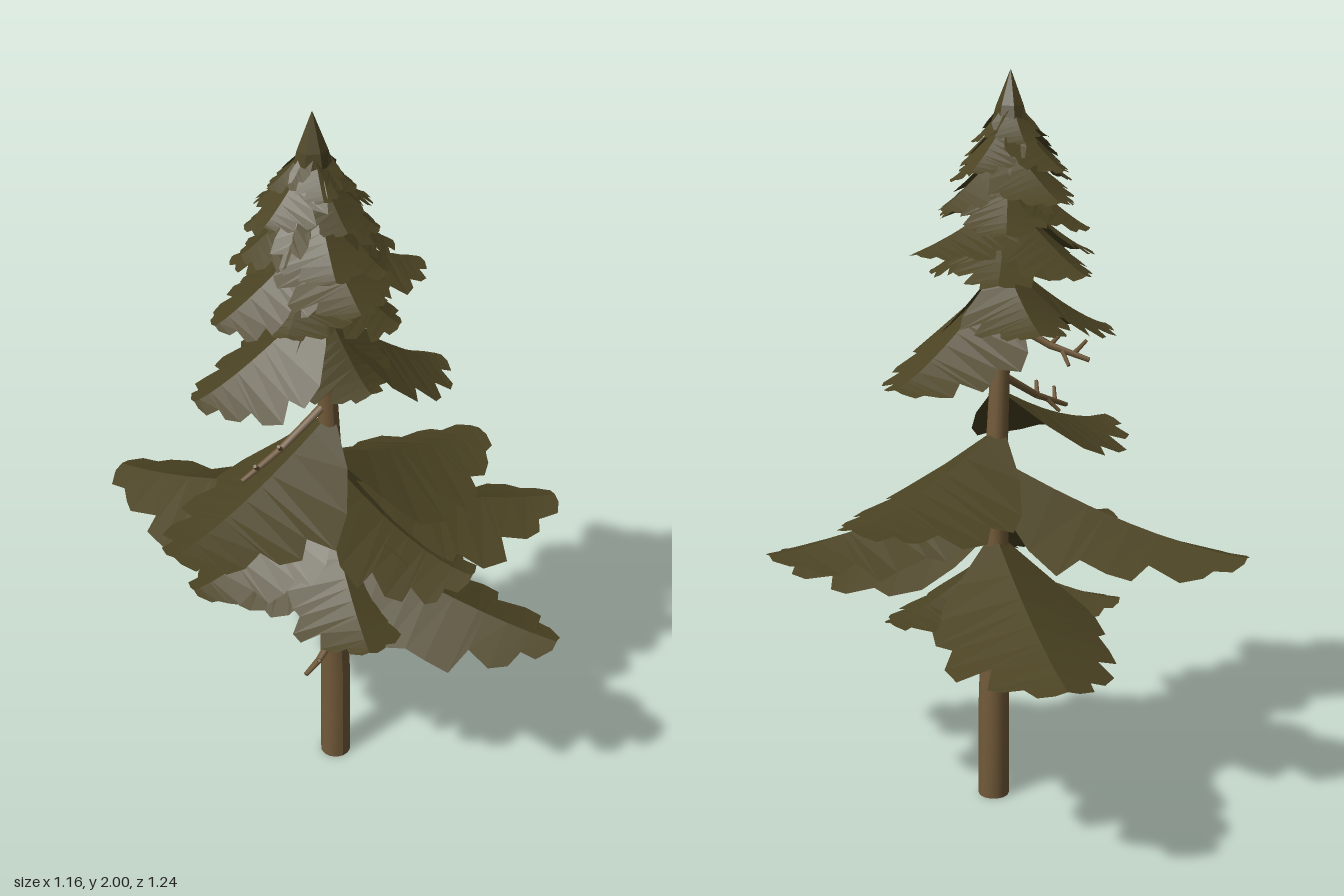
import * as THREE from 'three';

const bark = new THREE.MeshStandardMaterial({ name: 'bark brown', color: 0x725a39 });
const needles = new THREE.MeshStandardMaterial({ name: 'needle olive', color: 0x4b4323, flatShading: true, side: THREE.DoubleSide });

// Trunk centre line and radius: [y, x, z, radius]
const TRUNK = [
  [0, -0.042, 0.052, 0.043], [0.3, -0.042, 0.052, 0.042], [0.6, -0.055, 0.058, 0.036], [0.95, -0.056, 0.06, 0.031],
  [1.3, -0.074, 0.06, 0.025], [1.6, -0.095, 0.063, 0.017], [1.95, -0.115, 0.073, 0.006]];

function trunkAt(y) {
  let i = 0;
  while (i < TRUNK.length - 2 && y > TRUNK[i + 1][0]) i++;
  const a = TRUNK[i], b = TRUNK[i + 1];
  const k = THREE.MathUtils.clamp((y - a[0]) / (b[0] - a[0]), 0, 1);
  return { x: a[1] + (b[1] - a[1]) * k, z: a[2] + (b[2] - a[2]) * k, r: a[3] + (b[3] - a[3]) * k };
}

function makeTrunk() {
  const geo = new THREE.CylinderGeometry(1, 1, 1.95, 14, 13).translate(0, 0.975, 0);
  const p = geo.attributes.position;
  for (let i = 0; i < p.count; i++) {
    const y = p.getY(i), c = trunkAt(y);
    p.setXYZ(i, c.x + p.getX(i) * c.r, y, c.z + p.getZ(i) * c.r);
  }
  geo.computeVertexNormals();
  const mesh = new THREE.Mesh(geo, bark);
  mesh.name = 'trunk';
  return mesh;
}

// Lobed outline of half a bough: [distance along, half width]
const OUTLINE = [[0, 0.15], [0.1, 0.6], [0.24, 0.95], [0.38, 1.06], [0.45, 0.84], [0.55, 1], [0.66, 0.92],
  [0.69, 0.6], [0.79, 0.7], [0.87, 0.58], [0.89, 0.36], [0.96, 0.34], [1, 0.14]];

let seed = 7;
const rnd = () => (seed = (seed * 16807) % 2147483647) / 2147483647;

// Drooping tent-shaped bough from the trunk at startY to its tip; a higher curve levels out sooner
function makeBough([startY, tx, ty, tz, halfWidth], curve) {
  const c = trunkAt(startY);
  const dx = tx - c.x, dz = tz - c.z, len = Math.hypot(dx, dz);
  const sx = -dz / len, sz = dx / len;
  const at = (t, w) => {
    const fall = 1 - Math.pow(1 - Math.min(t, 1), curve);
    const sag = Math.abs(w) * (0.65 - 0.4 * t);
    return [c.x + dx * t + sx * w, startY + (ty - startY) * fall - sag, c.z + dz * t + sz * w];
  };
  const v = [];
  for (const side of [1, -1]) {
    const edge = OUTLINE.map(([t, w]) => [
      t === 0 || t === 1 ? t : t + (rnd() - 0.5) * 0.04, side * w * halfWidth * (0.9 + rnd() * 0.2)]);
    for (let i = 0; i < OUTLINE.length - 1; i++) {
      const r0 = at(OUTLINE[i][0], 0), r1 = at(OUTLINE[i + 1][0], 0);
      const e0 = at(...edge[i]), e1 = at(...edge[i + 1]);
      if (side > 0) v.push(...r0, ...e0, ...r1, ...e0, ...e1, ...r1);
      else v.push(...r0, ...r1, ...e0, ...e0, ...r1, ...e1);
    }
  }
  const geo = new THREE.BufferGeometry();
  geo.setAttribute('position', new THREE.Float32BufferAttribute(v, 3));
  geo.computeVertexNormals();
  const mesh = new THREE.Mesh(geo, needles);
  mesh.name = 'bough';
  return mesh;
}

// Boughs: [start y, tip x, tip y, tip z, half width]
const LOWER = [
  [0.76, 0.26, 0.6, -0.61, 0.22], [0.7, -0.28, 0.6, -0.2, 0.14], [0.72, 0.32, 0.6, 0.03, 0.13],
  [0.8, 0.3, 0.655, 0.6, 0.19], [0.82, -0.15, 0.67, 0.41, 0.15]];
const MIDDLE = [
  [0.98, -0.4, 0.78, -0.55, 0.21], [0.98, 0.57, 0.79, 0.21, 0.2], [1.03, 0.18, 0.77, 0.38, 0.18],
  [0.98, -0.47, 0.76, 0.06, 0.15], [1.06, 0.48, 0.9, -0.04, 0.21], [1.17, -0.58, 1, 0.2, 0.2]];
const UPPER = [
  [1.48, 0.3, 1.22, 0.02, 0.18], [1.52, -0.43, 1.31, 0.04, 0.17], [1.52, -0.05, 1.32, 0.24, 0.13],
  [1.5, -0.02, 1.35, -0.17, 0.14]];
const CROWN = [
  [1.68, 0.2, 1.55, 0.06, 0.13], [1.7, -0.38, 1.52, 0.07, 0.14], [1.75, -0.14, 1.61, 0.34, 0.13],
  [1.66, 0.08, 1.48, -0.12, 0.13], [1.66, 0.04, 1.48, 0.22, 0.13], [1.68, -0.16, 1.49, -0.18, 0.13],
  [1.68, -0.27, 1.53, 0.22, 0.12], [1.77, 0.03, 1.6, -0.09, 0.11], [1.77, -0.25, 1.6, -0.09, 0.11],
  [1.83, 0.08, 1.65, 0.12, 0.11], [1.83, -0.28, 1.66, 0.02, 0.12], [1.82, -0.16, 1.66, 0.26, 0.11],
  [1.82, -0.08, 1.68, -0.17, 0.11], [1.81, 0.0, 1.63, 0.22, 0.11], [1.89, 0.05, 1.75, 0.03, 0.09],
  [1.91, -0.27, 1.77, 0.12, 0.09], [1.9, -0.1, 1.75, 0.21, 0.09], [1.9, -0.16, 1.75, -0.09, 0.09],
  [1.88, 0.01, 1.72, 0.17, 0.08], [1.89, -0.26, 1.72, 0.0, 0.08], [1.93, -0.03, 1.82, 0.13, 0.06],
  [1.93, -0.22, 1.83, 0.05, 0.06], [1.93, -0.14, 1.82, 0.17, 0.06], [1.93, -0.08, 1.82, -0.03, 0.06]];

function makeTier(name, list, curve) {
  const tier = new THREE.Group();
  tier.name = name;
  list.forEach(b => tier.add(makeBough(b, curve)));
  return tier;
}

// Pointed cap with an uneven skirt
function makeTip() {
  const geo = new THREE.CylinderGeometry(0.001, 0.062, 0.18, 7, 2, true);
  const p = geo.attributes.position;
  for (let i = 0; i < p.count; i++) {
    const y = p.getY(i);
    if (y < -0.05) p.setY(i, y + 0.02 * Math.sin(p.getX(i) * 90 + p.getZ(i) * 60));
    else if (y < 0.05) p.setXYZ(i, p.getX(i) * 1.2, y, p.getZ(i) * 1.2);
  }
  geo.computeVertexNormals();
  const mesh = new THREE.Mesh(geo, needles);
  mesh.name = 'treeTip';
  mesh.position.set(-0.115, 1.91, 0.073);
  return mesh;
}

// Tapered stick between two points
function stick(a, b, r0, r1) {
  const dir = b.clone().sub(a);
  const mesh = new THREE.Mesh(new THREE.CylinderGeometry(r1, r0, dir.length(), 5), bark);
  mesh.position.copy(a).addScaledVector(dir, 0.5);
  mesh.quaternion.setFromUnitVectors(new THREE.Vector3(0, 1, 0), dir.normalize());
  mesh.name = 'twig';
  return mesh;
}

// Bare branch with a slight kink and short side twigs
function makeBareBranch([y, x, ty, z, forks]) {
  const group = new THREE.Group();
  group.name = 'bareBranch';
  const c = trunkAt(y);
  const a = new THREE.Vector3(c.x, y, c.z), b = new THREE.Vector3(x, ty, z);
  const mid = a.clone().lerp(b, 0.55);
  mid.y -= 0.012;
  group.add(stick(a, mid, 0.012, 0.01), stick(mid, b, 0.01, 0.007));
  const out = b.clone().sub(a).normalize();
  const across = new THREE.Vector3(-out.z, 0, out.x);
  for (let i = 0; i < forks; i++) {
    const root = mid.clone().lerp(b, i * 0.3);
    const end = root.clone().addScaledVector(out, 0.03).addScaledVector(across, i % 2 ? 0.03 : -0.03);
    end.y += i % 2 ? -0.025 : 0.045;
    group.add(stick(root, end, 0.007, 0.005));
  }
  return group;
}

export function createModel() {
  const tree = new THREE.Group();
  tree.name = 'conifer';
  tree.add(makeTrunk(), makeTip());
  tree.add(makeTier('lowerBoughs', LOWER, 1.6), makeTier('middleBoughs', MIDDLE, 1.6));
  tree.add(makeTier('upperBoughs', UPPER, 1.3), makeTier('crownBoughs', CROWN, 1.2));
  const bare = [[0.43, -0.16, 0.36, 0.09, 1], [0.58, -0.21, 0.47, -0.16, 3], [1.21, -0.34, 1.08, 0.1, 3], [1.36, -0.21, 1.26, -0.14, 3]];
  bare.forEach(b => tree.add(makeBareBranch(b)));
  return tree;
}
